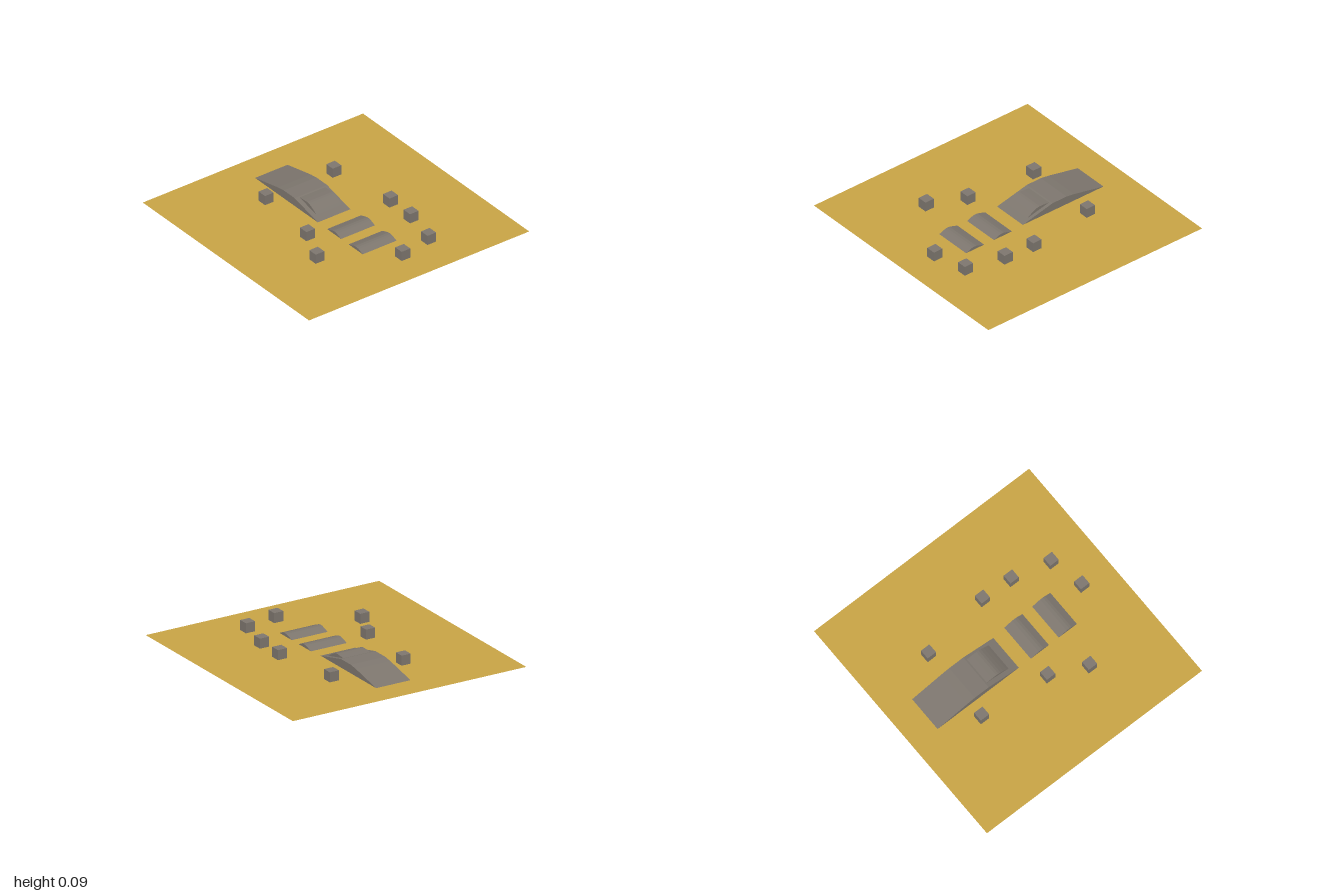
import * as THREE from 'three';

const sand = new THREE.MeshStandardMaterial({ color: 0xc8a445, side: THREE.DoubleSide });
const stone = new THREE.MeshStandardMaterial({ color: 0x7d766e, flatShading: true });

// Solid made by sweeping a side profile of [z, y] points from x0 to x1
function wedge(name, profile, x0, x1) {
  const shape = new THREE.Shape(profile.map(([z, y]) => new THREE.Vector2(-z, y)));
  const geometry = new THREE.ExtrudeGeometry(shape, { depth: x1 - x0, bevelEnabled: false });
  geometry.rotateY(Math.PI / 2).translate(x0, 0, 0);
  const mesh = new THREE.Mesh(geometry, stone);
  mesh.name = name;
  return mesh;
}

export function createModel() {
  const group = new THREE.Group();

  // Flat square ground sheet, just above the undersides of the bumps
  const field = new THREE.Mesh(new THREE.PlaneGeometry(2, 2).rotateX(-Math.PI / 2), sand);
  field.position.y = 0.002;
  field.name = 'sandField';
  group.add(field);

  // Large ramp: front slope, short flat crest, long back slope
  group.add(wedge('ramp', [
    [-0.02, 0.003], [-0.30, 0.07], [-0.43, 0.07], [-0.50, 0.06], [-0.775, 0.003],
  ], -0.15, 0.145));

  // Rounded hump set into the front slope
  group.add(wedge('rampHump', [
    [-0.08, 0.015], [-0.105, 0.032], [-0.135, 0.05], [-0.16, 0.063], [-0.18, 0.07],
    [-0.20, 0.073], [-0.24, 0.071], [-0.30, 0.066], [-0.30, 0.015],
  ], -0.112, 0.118));

  // Two low bumps, steeper in front than behind
  for (const z of [0.265, 0.525]) {
    group.add(wedge('lowBump', [
      [z, 0], [z - 0.03, 0.012], [z - 0.055, 0.022], [z - 0.075, 0.026],
      [z - 0.10, 0.025], [z - 0.125, 0.018], [z - 0.18, 0],
    ], -0.15, 0.157));
  }

  // Scattered cube blocks
  const spots = [
    [-0.28, -0.47], [0.335, -0.47], [-0.335, 0.10], [0.42, 0.10],
    [-0.465, 0.385], [0.41, 0.36], [0.335, 0.67], [0.055, 0.73],
  ];
  const cube = new THREE.BoxGeometry(0.078, 0.078, 0.078);
  for (const [x, z] of spots) {
    const block = new THREE.Mesh(cube, stone);
    block.position.set(x, 0.046, z);
    block.name = 'block';
    group.add(block);
  }
  return group;
}
